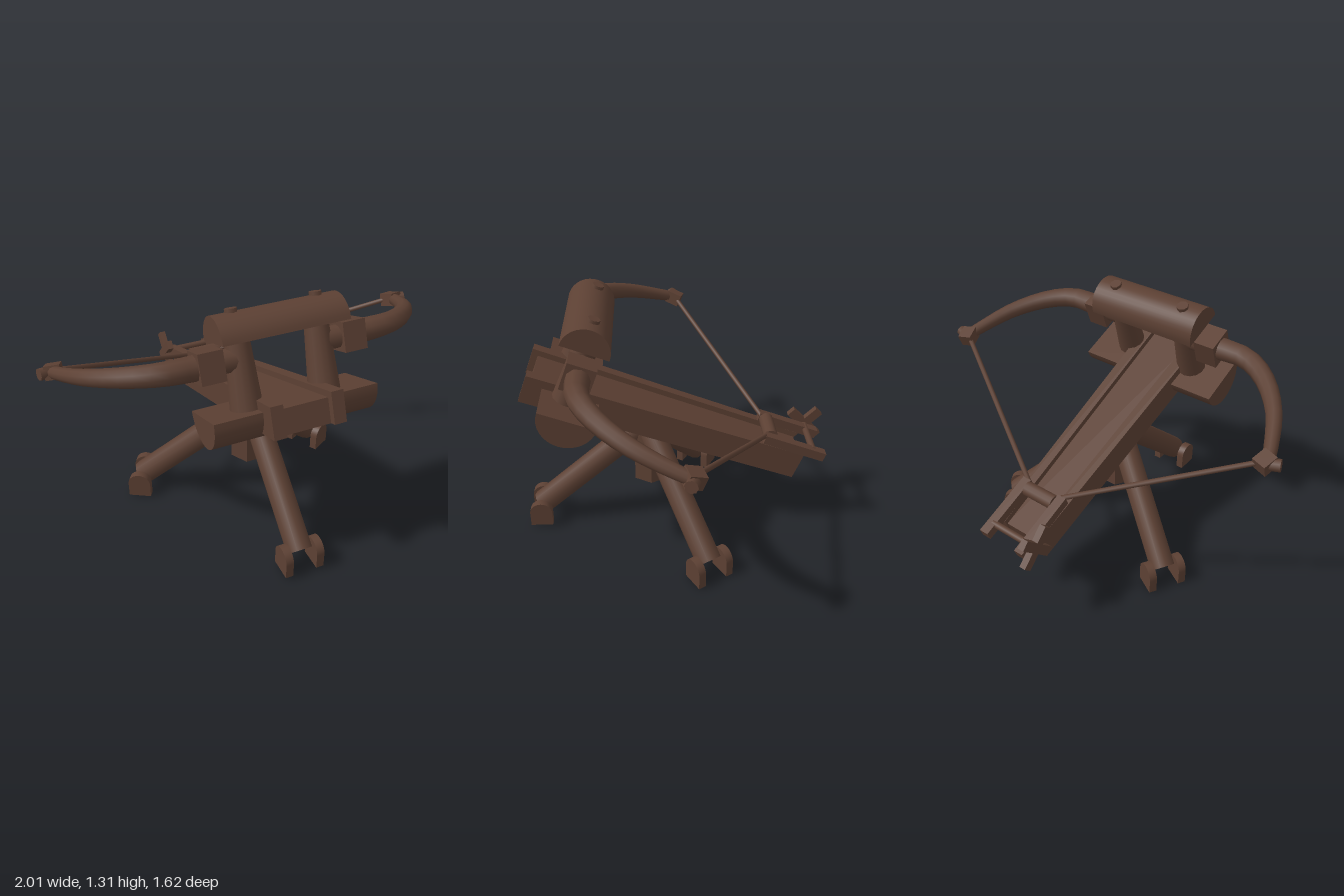
import * as THREE from 'three';
import { toCreasedNormals } from 'three/addons/utils/BufferGeometryUtils.js';

const wood = new THREE.MeshStandardMaterial({ color: 0x5c4033 });
wood.name = 'dark wood';

function add(parent, name, geometry, x = 0, y = 0, z = 0) {
  const mesh = new THREE.Mesh(geometry, wood);
  mesh.name = name;
  mesh.position.set(x, y, z);
  parent.add(mesh);
  return mesh;
}

// Round bar between two points
function bar(parent, name, a, b, radius, sides = 12) {
  const from = new THREE.Vector3(...a), to = new THREE.Vector3(...b);
  const dir = to.clone().sub(from);
  const mesh = add(parent, name, new THREE.CylinderGeometry(radius, radius, dir.length(), sides));
  mesh.position.copy(from).add(to).multiplyScalar(0.5);
  mesh.quaternion.setFromUnitVectors(new THREE.Vector3(0, 1, 0), dir.normalize());
  return mesh;
}

// Side profile (z, y) extruded across x and centred
function acrossX(shape, width, segments) {
  const g = new THREE.ExtrudeGeometry(shape, { depth: width, bevelEnabled: false, curveSegments: segments });
  g.translate(0, 0, -width / 2).rotateY(Math.PI / 2);
  return toCreasedNormals(g, 0.6);
}

function halfRound(radius, width, upper) {
  const s = new THREE.Shape();
  s.absarc(0, 0, radius, upper ? 0 : Math.PI, upper ? Math.PI : 2 * Math.PI, false);
  return acrossX(s, width, 8);
}

// Plan outline (x, z) raised along y
function plank(points, height) {
  const s = new THREE.Shape(points.map(([x, z]) => new THREE.Vector2(x, -z)));
  return new THREE.ExtrudeGeometry(s, { depth: height, bevelEnabled: false }).rotateX(-Math.PI / 2);
}

// Curved bow arm that thins towards its tip
function limbGeometry(s) {
  const path = [[0.38, 0.017], [0.55, 0.01], [0.69, -0.07], [0.82, -0.22], [0.9, -0.39], [0.935, -0.49]];
  const curve = new THREE.CatmullRomCurve3(path.map(([x, z], i) => new THREE.Vector3(s * x, 0.226 + i * 0.004, z)));
  const rings = 12, sides = 10;
  const g = new THREE.TubeGeometry(curve, rings, 1, sides);
  const p = g.attributes.position, v = new THREE.Vector3();
  for (let i = 0; i < p.count; i++) {
    const t = Math.floor(i / (sides + 1)) / rings;
    const c = curve.getPointAt(t);
    v.fromBufferAttribute(p, i).sub(c).multiplyScalar(0.06 - 0.03 * t).add(c);
    p.setXYZ(i, v.x, v.y, v.z);
  }
  return g;
}

function makeLeg(name) {
  const leg = new THREE.Group();
  leg.name = name;
  bar(leg, 'legPole', [0, 0.6, 0], [0, 0.085, 0.59], 0.065);
  const arch = new THREE.Shape();
  arch.moveTo(-0.06, 0);
  arch.lineTo(0.06, 0);
  arch.lineTo(0.06, 0.08);
  arch.absarc(0, 0.08, 0.06, 0, Math.PI, false);
  for (const s of [-1, 1]) add(leg, 'footPlate', acrossX(arch, 0.04, 8), s * 0.083, 0, 0.595);
  return leg;
}

export function createModel() {
  const model = new THREE.Group();
  model.name = 'ballista';

  // Tripod stand
  const stand = new THREE.Group();
  stand.name = 'stand';
  model.add(stand);
  ['frontLeg', 'rearLeftLeg', 'rearRightLeg'].forEach((name, i) => {
    const leg = makeLeg(name);
    leg.position.set(0, i === 0 ? 0.015 : 0, 0.155);
    leg.rotation.y = i * 2 * Math.PI / 3;
    stand.add(leg);
  });
  const post = new THREE.CylinderGeometry(0.1, 0.1, 0.34, 6).rotateY(Math.PI / 2);
  add(stand, 'centrePost', toCreasedNormals(post, 0.5), 0, 0.45, 0.14);

  // Everything above the stand tilts upward to the front
  const body = new THREE.Group();
  body.name = 'tiltedBody';
  body.position.set(0, 0.868, 0.525);
  body.rotation.x = -0.365;
  model.add(body);

  // Stock: sunken bed between two tapering rails
  add(body, 'bed', plank([[-0.12, 0.202], [0.12, 0.202], [0.09, -1.25], [-0.09, -1.25]], 0.119), 0, -0.107, 0);
  for (const s of [-1, 1]) {
    const pts = [[s * 0.115, 0.235], [s * 0.175, 0.235], [s * 0.135, -1.256], [s * 0.085, -1.256]];
    add(body, 'rail', plank(pts, 0.149), 0, -0.107, 0);
    add(body, 'winchBracket', new THREE.BoxGeometry(0.05, 0.048, 0.345), s * 0.112, 0.064, -1.193);
  }

  // Bow frame
  add(body, 'lowerBeam', halfRound(0.145, 0.8, false));
  add(body, 'upperBeam', halfRound(0.12, 0.61, true), 0, 0.315, 0.02);
  for (const s of [-1, 1]) {
    add(body, 'tower', new THREE.CylinderGeometry(0.057, 0.077, 0.34, 14), s * 0.195, 0.155, 0.015);
    add(body, 'bolt', new THREE.CylinderGeometry(0.03, 0.03, 0.03, 8), s * 0.205, 0.435, 0.02);
    bar(body, 'limbAxle', [s * 0.19, 0.226, 0.017], [s * 0.31, 0.226, 0.017], 0.055);
    add(body, 'limbBlock', new THREE.BoxGeometry(0.115, 0.14, 0.14), s * 0.347, 0.226, 0.017);
    add(body, 'limb', limbGeometry(s));

    // Arm tip and bowstring
    const tip = add(body, 'limbTip', new THREE.BoxGeometry(0.075, 0.068, 0.08), s * 0.925, 0.247, -0.495);
    tip.rotation.y = s * 0.3;
    bar(body, 'tipPeg', [s * 0.93, 0.247, -0.5], [s * 0.995, 0.247, -0.48], 0.03, 8);
    bar(body, 'bowstring', [s * 0.9, 0.247, -0.51], [s * 0.075, 0.068, -1.045], 0.013, 8);
  }

  // String catch, winch axle and crossed handle
  bar(body, 'stringCatch', [-0.088, 0.066, -1.06], [0.088, 0.066, -1.06], 0.038);
  bar(body, 'winchAxle', [-0.17, 0.073, -1.299], [0.11, 0.073, -1.299], 0.018, 10);
  for (const s of [-1, 1]) {
    const spoke = add(body, 'handleSpoke', new THREE.BoxGeometry(0.034, 0.05, 0.22), -0.162, 0.077, -1.299);
    spoke.rotation.x = 0.365 + s * Math.PI / 4;
  }
  return model;
}
